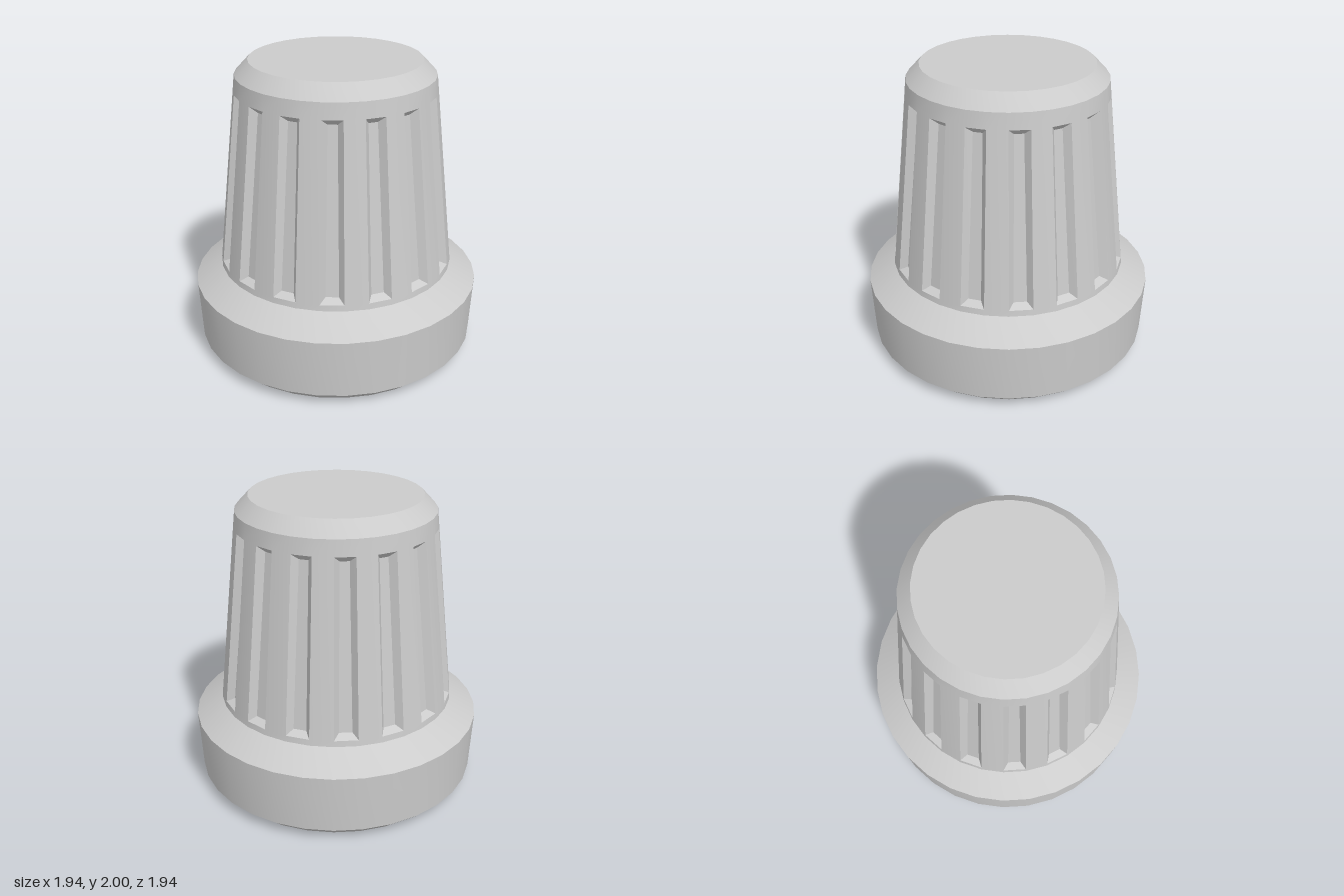
import * as THREE from 'three';
import { toCreasedNormals } from 'three/addons/utils/BufferGeometryUtils.js';

const SIDES = 32;
const GRIP = { y0: 0.6, r0: 0.795, y1: 1.905, r1: 0.652 };
const GROOVE = { bottom: 0.64, top: 1.8, inset: 0.035, depth: 0.045 };

// Turned part from [radius, height] points, bottom to top
function turned(name, profile, material) {
  const points = profile.map(([r, y]) => new THREE.Vector2(r, y));
  const geometry = toCreasedNormals(new THREE.LatheGeometry(points, SIDES), 0.4);
  const mesh = new THREE.Mesh(geometry, material);
  mesh.name = name;
  return mesh;
}

// Tapered grip: every other facet is pressed in as a groove with sloped walls
function gripGeometry() {
  const positions = [];
  const quad = (a, b, c, d) => {
    for (const p of [a, b, c, a, c, d]) positions.push(p.x, p.y, p.z);
  };
  const corner = (i, y) => {
    const r = THREE.MathUtils.mapLinear(y, GRIP.y0, GRIP.y1, GRIP.r0, GRIP.r1);
    const angle = ((i % SIDES) / SIDES) * Math.PI * 2;
    return new THREE.Vector3(r * Math.sin(angle), y, r * Math.cos(angle));
  };
  const facet = (i, y0, y1) => [corner(i, y0), corner(i + 1, y0), corner(i + 1, y1), corner(i, y1)];

  for (let i = 0; i < SIDES; i++) {
    // Plain bands below and above the grooves
    quad(...facet(i, GRIP.y0, GROOVE.bottom));
    quad(...facet(i, GROOVE.top, GRIP.y1));

    const outer = facet(i, GROOVE.bottom, GROOVE.top);
    if (i % 2 === 0) {
      quad(...outer);
      continue;
    }
    // Groove floor, inset from the facet and pushed inwards
    const across = outer[1].clone().sub(outer[0]).normalize();
    const up = outer[3].clone().add(outer[2]).sub(outer[0]).sub(outer[1]).normalize();
    const normal = across.clone().cross(up);
    const inner = outer.map((p, k) => p.clone()
      .addScaledVector(across, k === 0 || k === 3 ? GROOVE.inset : -GROOVE.inset)
      .addScaledVector(up, k < 2 ? GROOVE.inset : -GROOVE.inset)
      .addScaledVector(normal, -GROOVE.depth));
    quad(...inner);
    // Groove walls
    for (let k = 0; k < 4; k++) {
      const n = (k + 1) % 4;
      quad(outer[k], outer[n], inner[n], inner[k]);
    }
  }
  const geometry = new THREE.BufferGeometry();
  geometry.setAttribute('position', new THREE.Float32BufferAttribute(positions, 3));
  return toCreasedNormals(geometry, 0.4);
}

export function createModel() {
  const material = new THREE.MeshStandardMaterial({ color: 0xcccccc });
  const model = new THREE.Group();
  model.name = 'knob';

  // Wide skirt with chamfered foot and sloped shoulder
  model.add(turned('skirt', [
    [0, 0], [0.865, 0], [0.952, 0.08], [0.972, 0.48], [GRIP.r0, GRIP.y0],
  ], material));

  const grip = new THREE.Mesh(gripGeometry(), material);
  grip.name = 'flutedGrip';
  model.add(grip);

  // Chamfered flat top
  model.add(turned('cap', [[GRIP.r1, GRIP.y1], [0.563, 2], [0, 2]], material));

  return model;
}
